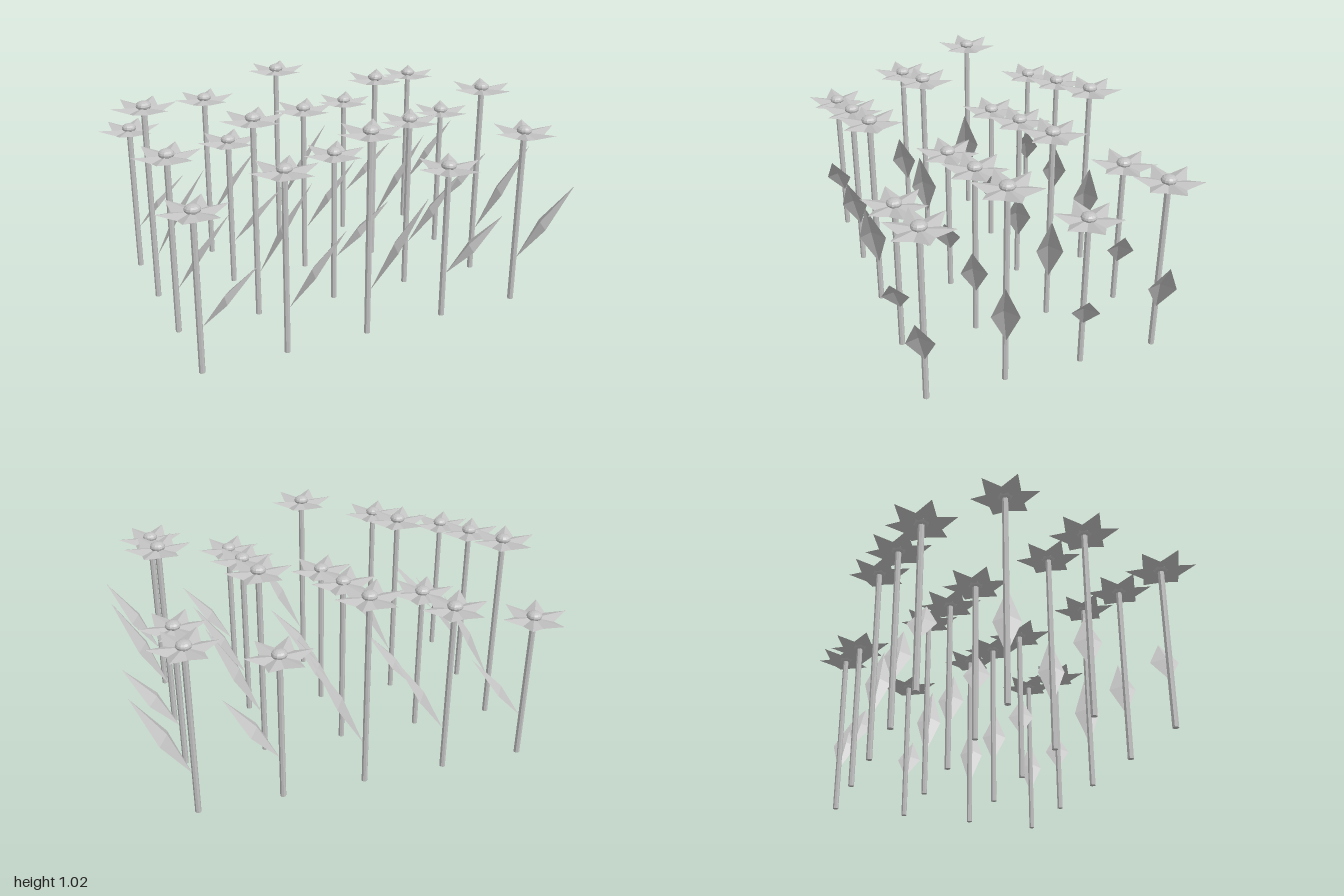
import * as THREE from 'three';

const grey = new THREE.MeshStandardMaterial({ color: 0xc2c2c2, side: THREE.DoubleSide, flatShading: true });
grey.name = 'pale grey';

// Unshared triangles from a list of corner triples
function facets(triangles) {
  const geometry = new THREE.BufferGeometry();
  geometry.setAttribute('position', new THREE.Float32BufferAttribute(triangles.flat(2), 3));
  geometry.computeVertexNormals();
  return geometry;
}

function part(name, geometry, y = 0) {
  const mesh = new THREE.Mesh(geometry, grey);
  mesh.name = name;
  mesh.position.y = y;
  return mesh;
}

// Six ridged petals: raised ridges to the tips, valleys in between
function petalGeometry() {
  const at = (angle, r, y) => [Math.cos(angle) * r, y, -Math.sin(angle) * r];
  const centre = [0, -0.008, 0];
  const triangles = [];
  for (let k = 0; k < 6; k++) {
    const a = k * Math.PI / 3;
    const tip = at(a, 0.157, 0.004);
    const before = at(a - Math.PI / 6, 0.09, -0.018);
    const after = at(a + Math.PI / 6, 0.09, -0.018);
    triangles.push([centre, before, tip], [centre, tip, after]);
  }
  return facets(triangles);
}

// Folded diamond leaf leaning outward; rise stretches it upward
function leafGeometry(rise) {
  const base = [0.012, 0, 0.002];
  const tip = [0.243, 0.455 * rise, 0.099];
  const ridge = [0.1, 0.235 * rise, 0.05];
  const backCorner = [0.142, 0.215 * rise, -0.011];
  const frontCorner = [0.094, 0.212 * rise, 0.105];
  return facets([
    [base, ridge, backCorner], [backCorner, ridge, tip],
    [base, frontCorner, ridge], [ridge, frontCorner, tip],
  ]);
}

export function createModel() {
  const model = new THREE.Group();
  model.name = 'flowerBed';

  const petals = petalGeometry();
  const heart = new THREE.SphereGeometry(0.036, 12, 8).scale(1, 0.62, 1);

  // Three flower sizes repeat across the rows
  const sizes = [[0.992, 1], [0.881, 0.825], [0.77, 0.65]].map(([height, rise]) => ({
    height,
    stem: new THREE.CylinderGeometry(0.0145, 0.0145, height - 0.01, 8),
    leaf: leafGeometry(rise),
  }));

  for (let row = 0; row < 4; row++) {
    for (let column = 0; column < 5; column++) {
      const { height, stem, leaf } = sizes[(1 + column + 2 * row) % 3];
      const flower = new THREE.Group();
      flower.name = 'flower';
      flower.position.set(0.754 - 0.399 * column, 0, 0.558 - 0.372 * row);
      flower.add(
        part('stem', stem, (height - 0.01) / 2),
        part('leaf', leaf, 0.223),
        part('petals', petals, height),
        part('flowerHeart', heart, height + 0.002),
      );
      model.add(flower);
    }
  }
  return model;
}
